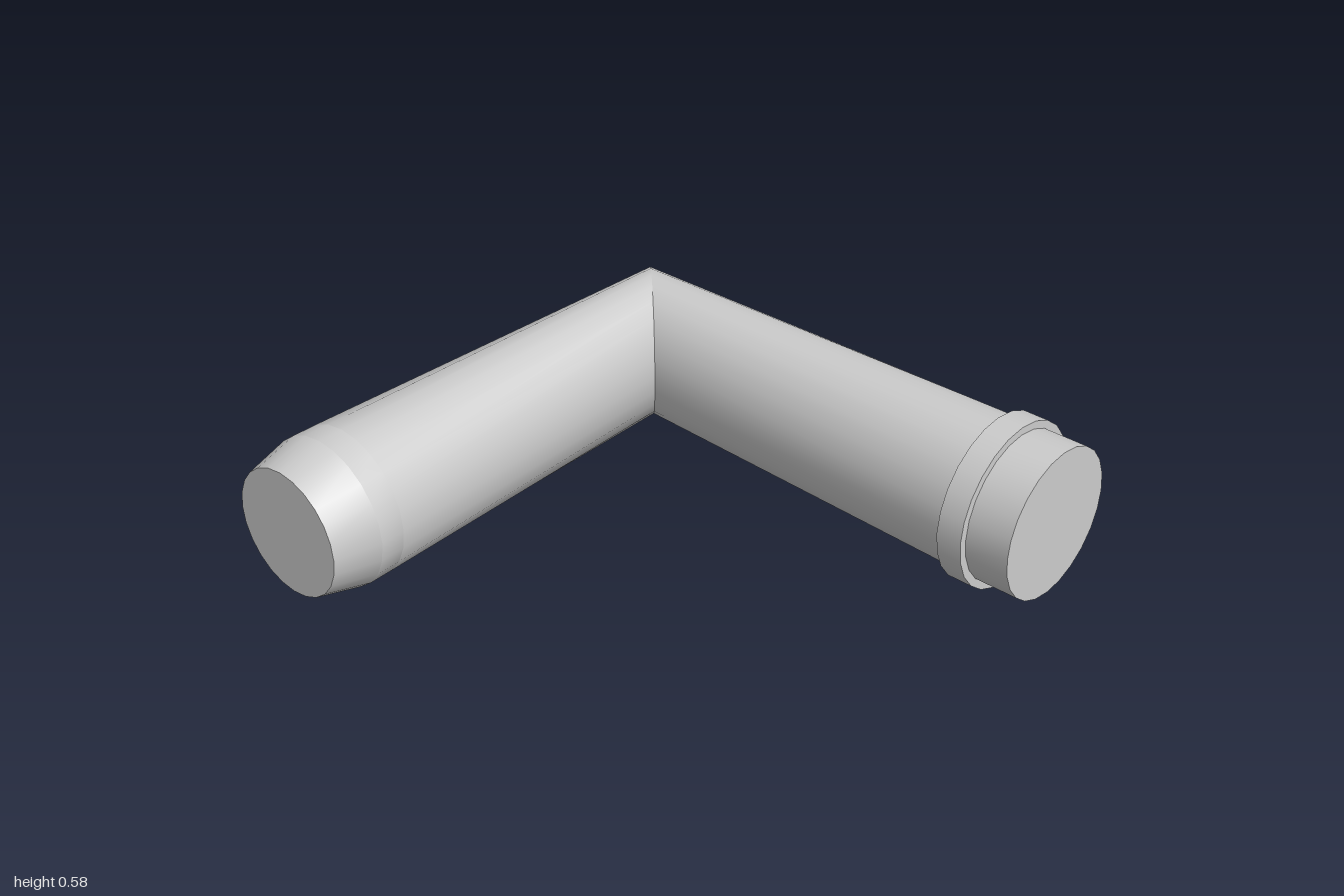
import * as THREE from 'three';

const SIDES = 24;
const MID_Y = 0.29;
const HALF_HEIGHT = 0.263;

// A ring is given by its outer and inner points [x, z] on the bend plane and its half height.
function ringPoints([outer, inner, half = HALF_HEIGHT]) {
  const cx = (outer[0] + inner[0]) / 2, cz = (outer[1] + inner[1]) / 2;
  const sx = (outer[0] - inner[0]) / 2, sz = (outer[1] - inner[1]) / 2;
  const points = [];
  for (let j = 0; j < SIDES; j++) {
    const a = (j / SIDES) * Math.PI * 2;
    points.push(cx + sx * Math.cos(a), MID_Y + half * Math.sin(a), cz + sz * Math.cos(a));
  }
  return points;
}

function buildGeometry(positions, index) {
  const geometry = new THREE.BufferGeometry();
  geometry.setAttribute('position', new THREE.Float32BufferAttribute(positions, 3));
  geometry.setIndex(index);
  geometry.computeVertexNormals();
  return geometry;
}

// Smooth tube wall through a row of rings
function loft(rings) {
  const index = [];
  for (let i = 0; i < rings.length - 1; i++) {
    for (let j = 0; j < SIDES; j++) {
      const a = i * SIDES + j, b = i * SIDES + ((j + 1) % SIDES);
      index.push(a, b, a + SIDES, b, b + SIDES, a + SIDES);
    }
  }
  return buildGeometry(rings.flatMap(ringPoints), index);
}

// Flat disc closing a ring
function cap(ring, atStart) {
  const index = [];
  for (let j = 1; j < SIDES - 1; j++) {
    index.push(0, ...(atStart ? [j + 1, j] : [j, j + 1]));
  }
  return buildGeometry(ringPoints(ring), index);
}

export function createModel() {
  const group = new THREE.Group();
  const material = new THREE.MeshStandardMaterial({ color: 0xcccccc });
  const add = (name, geometry) => {
    const mesh = new THREE.Mesh(geometry, material);
    mesh.name = name;
    group.add(mesh);
    return mesh;
  };

  const tip = [[-0.97, -0.96], [-0.97, -0.515], 0.223];
  const shoulder = [[-0.81, -1], [-0.81, -0.475]];
  const armStart = [[-0.72, -0.998], [-0.72, -0.478]];
  const mitre = [[0.87, -0.91], [0.5, -0.54]];
  const neck = [[0.937, 0.77], [0.413, 0.77]];
  const mouth = [[0.937, 1], [0.413, 1]];

  // Tapered spigot end
  add('spigotTaper', loft([tip, shoulder]));
  add('spigotBand', loft([shoulder, armStart]));
  add('spigotCap', cap(tip, true));

  // Two arms meeting at the mitred elbow
  add('sideArm', loft([armStart, mitre]));
  add('frontArm', loft([mitre, neck]));

  // Straight front end with its cap
  add('frontEnd', loft([neck, mouth]));
  add('frontCap', cap(mouth, false));

  // Raised collar around the front end
  const collar = add('collar', new THREE.CylinderGeometry(0.29, 0.29, 0.09, SIDES));
  collar.rotation.x = Math.PI / 2;
  collar.position.set(0.675, MID_Y, 0.8);

  return group;
}
